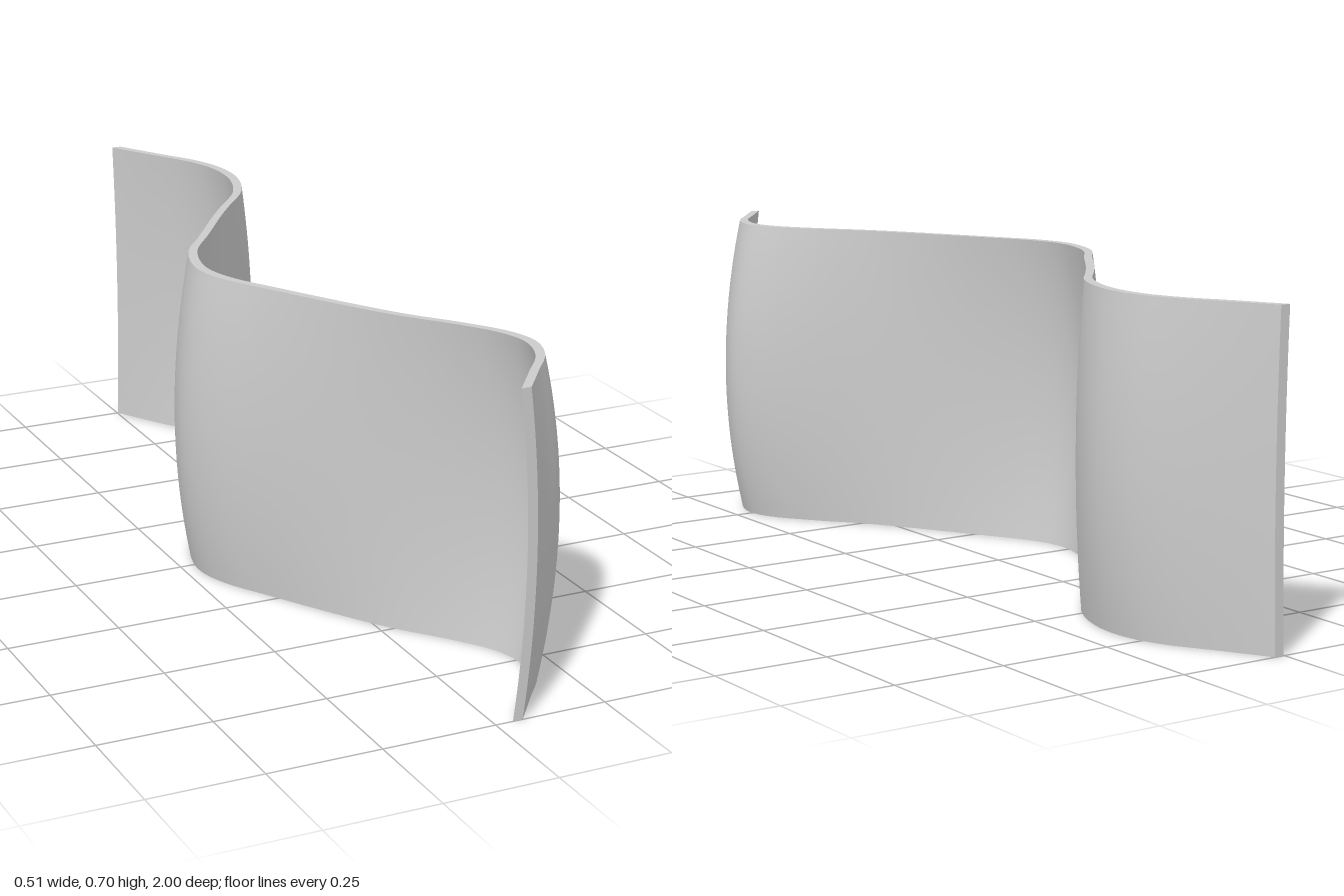
import * as THREE from 'three';

const HEIGHT = 0.7, THICKNESS = 0.022;

// Plan of the wave: x at the upper edge, extra outward bulge at mid height, z
const WAVE = [
  [0.012, 0.006, -1], [0.07, 0.013, -0.9], [0.13, 0.022, -0.8], [0.157, 0.028, -0.72],
  [0.158, 0.03, -0.62], [0.117, 0.02, -0.5], [0.042, 0.006, -0.4], [-0.01, 0, -0.33],
  [-0.1, -0.02, -0.2], [-0.17, -0.034, -0.1], [-0.202, -0.04, 0], [-0.202, -0.04, 0.06],
  [-0.18, -0.036, 0.13], [-0.13, -0.025, 0.22], [-0.025, -0.002, 0.4], [0.04, 0.013, 0.5],
  [0.12, 0.03, 0.6], [0.178, 0.045, 0.69], [0.194, 0.05, 0.76], [0.17, 0.044, 0.84],
  [0.11, 0.033, 0.92], [0.048, 0.024, 1],
];

export function createModel() {
  const group = new THREE.Group();
  group.name = 'wavyScreen';

  const curve = new THREE.CatmullRomCurve3(
    WAVE.map(([x, bulge, z]) => new THREE.Vector3(x, bulge, z)), false, 'centripetal');

  // Thin upright slab, bent along the wave and bowed over its height
  const geometry = new THREE.BoxGeometry(THICKNESS, HEIGHT, 2, 1, 24, 126);
  geometry.translate(0, HEIGHT / 2, 0);
  const pos = geometry.attributes.position;
  const p = new THREE.Vector3();
  for (let i = 0; i < pos.count; i++) {
    const y = pos.getY(i);
    const t = THREE.MathUtils.clamp((pos.getZ(i) + 1) / 2, 0, 1);
    curve.getPoint(t, p);
    const bow = 1 - ((y - 0.34) / 0.355) ** 2;
    pos.setXYZ(i, pos.getX(i) + p.x + p.y * bow, y, p.z);
  }
  geometry.computeVertexNormals();

  const panel = new THREE.Mesh(geometry, new THREE.MeshStandardMaterial({ color: 0xcccccc }));
  panel.name = 'wavyPanel';
  group.add(panel);
  return group;
}
